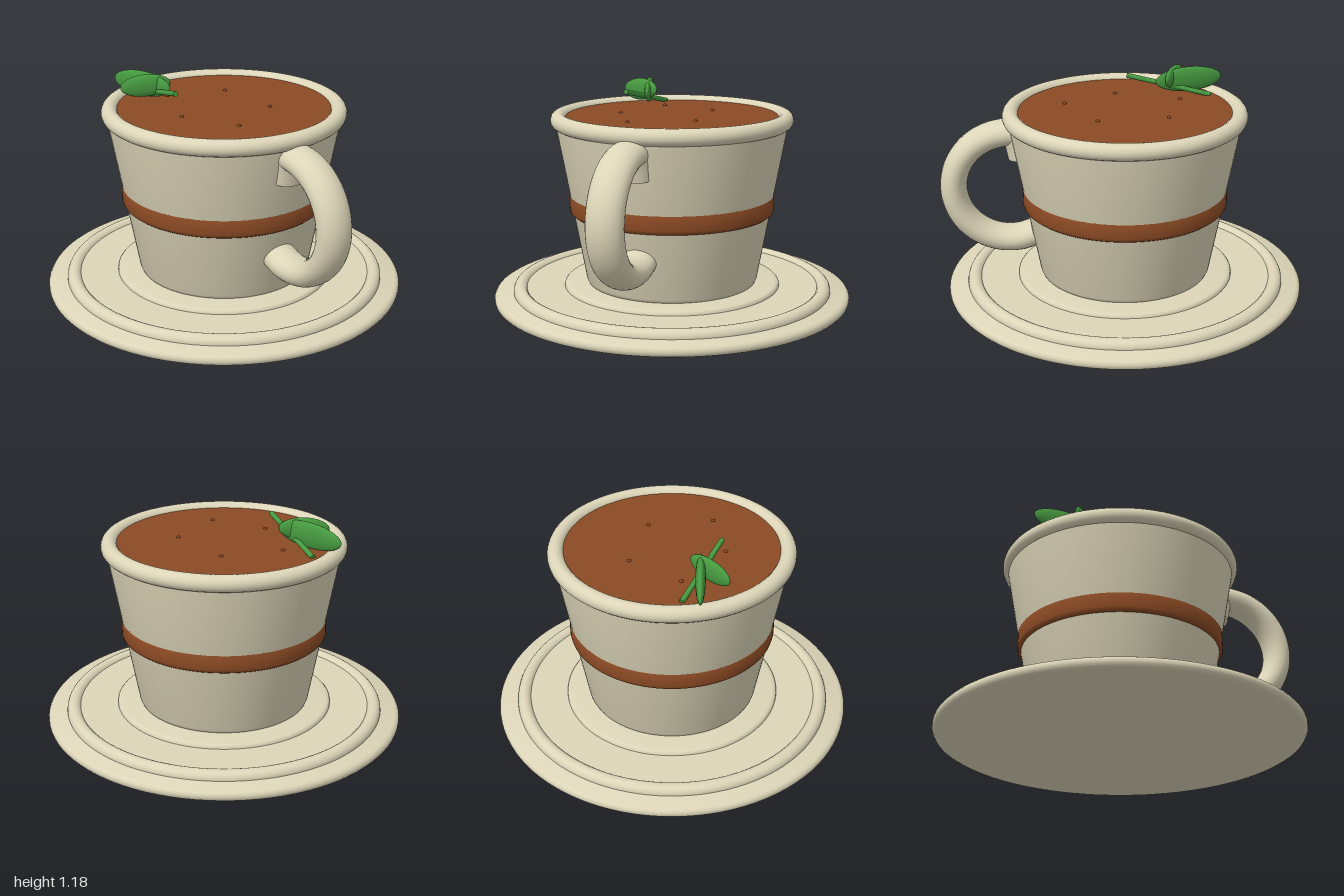
import * as THREE from 'three';
import { toCreasedNormals } from 'three/addons/utils/BufferGeometryUtils.js';

export function createModel() {
  const model = new THREE.Group();
  const round = new THREE.Group(); // everything turned on the cup axis
  round.name = 'cupAndSaucer';
  round.position.x = -0.01;
  model.add(round);

  const mat = (name, color) => new THREE.MeshStandardMaterial({ name, color });
  const cream = mat('cream', 0xdcd5b8);
  const brown = mat('cocoaBrown', 0x8b4a24);
  const green = mat('leafGreen', 0x469a40);

  const add = (parent, name, geometry, material, x = 0, y = 0, z = 0) => {
    const mesh = new THREE.Mesh(geometry, material);
    mesh.name = name;
    mesh.position.set(x, y, z);
    parent.add(mesh);
    return mesh;
  };
  const lathe = (points) => toCreasedNormals(
    new THREE.LatheGeometry(points.map(([x, y]) => new THREE.Vector2(x, y)), 96), 0.7);
  const ring = (name, radius, tube, y, material) => {
    const g = new THREE.TorusGeometry(radius, tube, 20, 96).rotateX(Math.PI / 2);
    return add(round, name, g, material, 0, y, 0);
  };

  // Saucer: rounded plate, raised ring and a slightly raised well
  add(round, 'saucer', lathe([
    [0, 0], [0.965, 0], [0.98, 0.007], [0.988, 0.018], [0.99, 0.03],
    [0.988, 0.042], [0.98, 0.053], [0.965, 0.06], [0, 0.06],
  ]), cream);
  ring('saucerRing', 0.845, 0.04, 0.064, cream);
  add(round, 'saucerWell', lathe([
    [0.845, 0.06], [0.845, 0.083], [0.6, 0.083], [0.598, 0.096],
    [0.59, 0.104], [0.575, 0.107], [0, 0.107],
  ]), cream);

  // Cup body with a softened foot, and its rolled rim
  add(round, 'cupBody', lathe([
    [0, 0.1], [0.455, 0.1], [0.468, 0.108], [0.476, 0.125], [0.632, 0.98], [0.61, 1.01],
  ]), cream);
  ring('cupRim', 0.617, 0.045, 1.013, cream);

  // Painted band standing proud of the body
  add(round, 'band', lathe([
    [0.53, 0.497], [0.55, 0.497], [0.56, 0.505], [0.564, 0.52],
    [0.564, 0.595], [0.56, 0.602], [0.54, 0.602],
  ]), brown);

  // Drink surface and its small bubbles
  add(round, 'drink', lathe([[0, 1.0], [0.6, 1.0], [0.6, 1.032], [0, 1.032]]), brown);
  [[-0.23, -0.16], [0.15, -0.19], [0.31, 0.13], [-0.33, 0.16], [0.02, 0.29]].forEach(([x, z]) =>
    add(model, 'bubble', new THREE.SphereGeometry(0.011, 12, 8), brown, x, 1.032, z));

  // Handle: oval tube sweeping out from the cup, with a curled upper end
  const handle = new THREE.Group();
  handle.name = 'handle';
  handle.scale.z = 1.36;
  model.add(handle);
  const path = [];
  for (let i = 0; i <= 14; i++) {
    const a = THREE.MathUtils.degToRad(-114 + i * 15);
    path.push(new THREE.Vector3(0.62 + 0.307 * Math.cos(a), 0.615 + 0.307 * Math.sin(a), 0));
  }
  path.push(new THREE.Vector3(0.572, 0.875, 0), new THREE.Vector3(0.555, 0.79, 0));
  const curve = new THREE.CatmullRomCurve3(path);
  add(handle, 'handleTube', new THREE.TubeGeometry(curve, 100, 0.073, 24), cream);
  [0, 1].forEach((t) => {
    const cap = add(handle, 'handleEnd', new THREE.CircleGeometry(0.073, 24), cream);
    const p = curve.getPoint(t);
    const d = curve.getTangent(t).multiplyScalar(t ? 1 : -1);
    cap.position.copy(p);
    cap.quaternion.setFromUnitVectors(new THREE.Vector3(0, 0, 1), d);
  });

  // Herb garnish: two upright leaves and a stem
  const leaf = (name, length, height, x, y, z, turn, tilt) => {
    const g = new THREE.SphereGeometry(1, 32, 20).scale(length, height, 0.026);
    const mesh = add(model, name, g, green, x, y, z);
    mesh.rotation.set(0, turn, tilt);
  };
  leaf('largeLeaf', 0.203, 0.07, -0.395, 1.112, 0.28, 0.3, 0.03);
  leaf('smallLeaf', 0.137, 0.062, -0.317, 1.122, 0.305, 1.11, 0.08);
  const stemPath = new THREE.LineCurve3(
    new THREE.Vector3(-0.51, 1.035, 0.22), new THREE.Vector3(-0.045, 1.14, 0.285));
  const length = stemPath.getLength();
  const stem = add(model, 'stem', new THREE.CylinderGeometry(0.014, 0.014, length, 16), green);
  stem.position.copy(stemPath.getPoint(0.5));
  stem.quaternion.setFromUnitVectors(new THREE.Vector3(0, 1, 0), stemPath.getTangent(0));

  return model;
}
